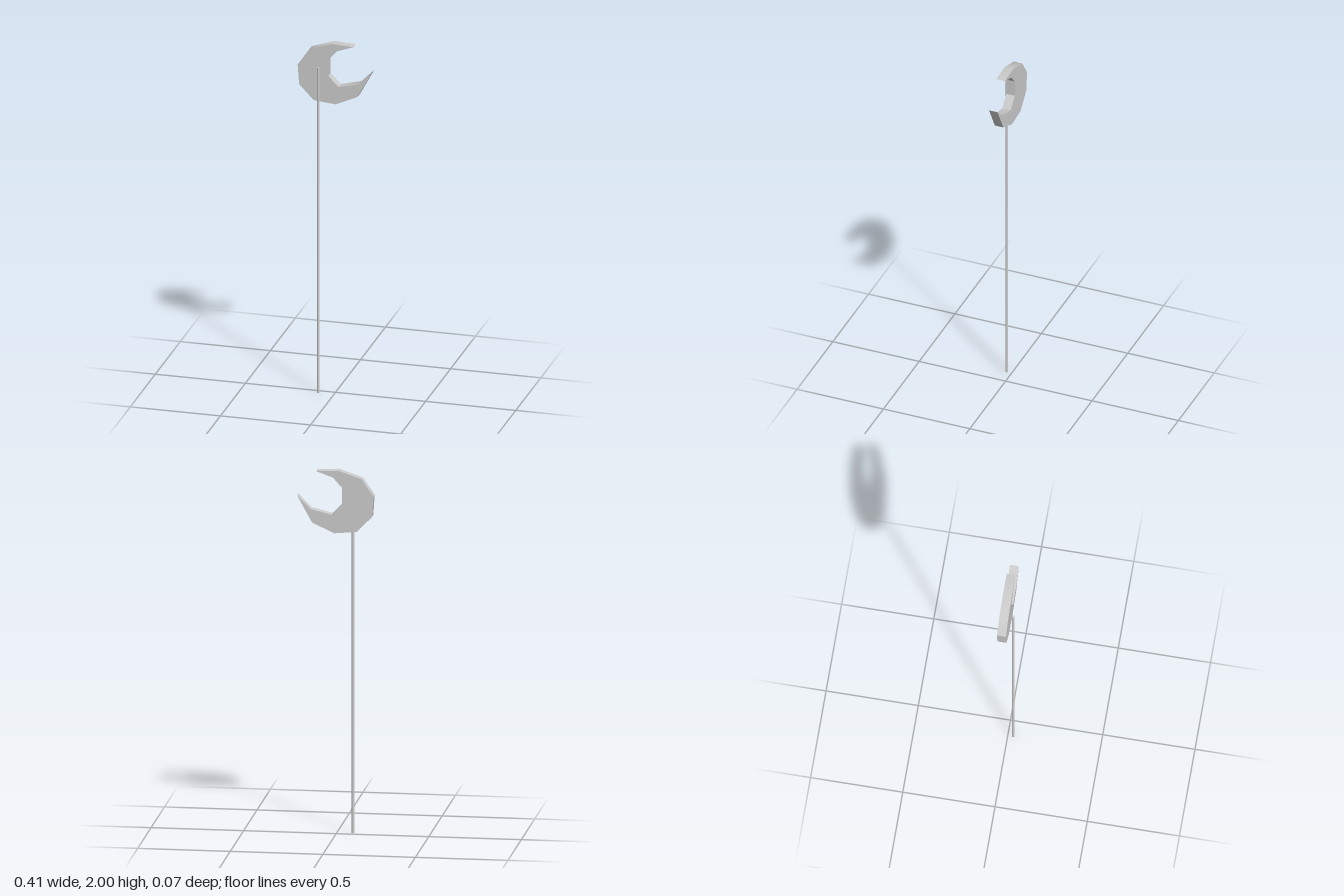
import * as THREE from 'three';
import { toCreasedNormals } from 'three/addons/utils/BufferGeometryUtils.js';

export function createModel() {
  const model = new THREE.Group();
  const material = new THREE.MeshStandardMaterial({ color: 0xcccccc });

  // Faceted crescent: outer rim from the upper tip round to the side tip, then the inner rim back
  const outline = [
    [0.103, 1.994], [-0.017, 2.0], [-0.143, 1.957], [-0.207, 1.864], [-0.199, 1.752],
    [-0.118, 1.668], [0.004, 1.656], [0.125, 1.711], [0.205, 1.857],
    [0.133, 1.785], [0.02, 1.757], [-0.037, 1.815], [-0.037, 1.906], [0.012, 1.961],
  ].map(([x, y]) => new THREE.Vector2(x, y));
  const slab = new THREE.ExtrudeGeometry(new THREE.Shape(outline), { depth: 0.049, bevelEnabled: false });
  slab.translate(0, 0, -0.038);
  const crescent = new THREE.Mesh(toCreasedNormals(slab, 0.65), material);
  crescent.name = 'crescentHead';
  model.add(crescent);

  // Thin rod standing just in front of the crescent
  const rodHeight = 1.864;
  const rod = new THREE.Mesh(new THREE.CylinderGeometry(0.0072, 0.0072, rodHeight, 16), material);
  rod.position.set(-0.087, rodHeight / 2, 0.029);
  rod.name = 'rod';
  model.add(rod);

  return model;
}
